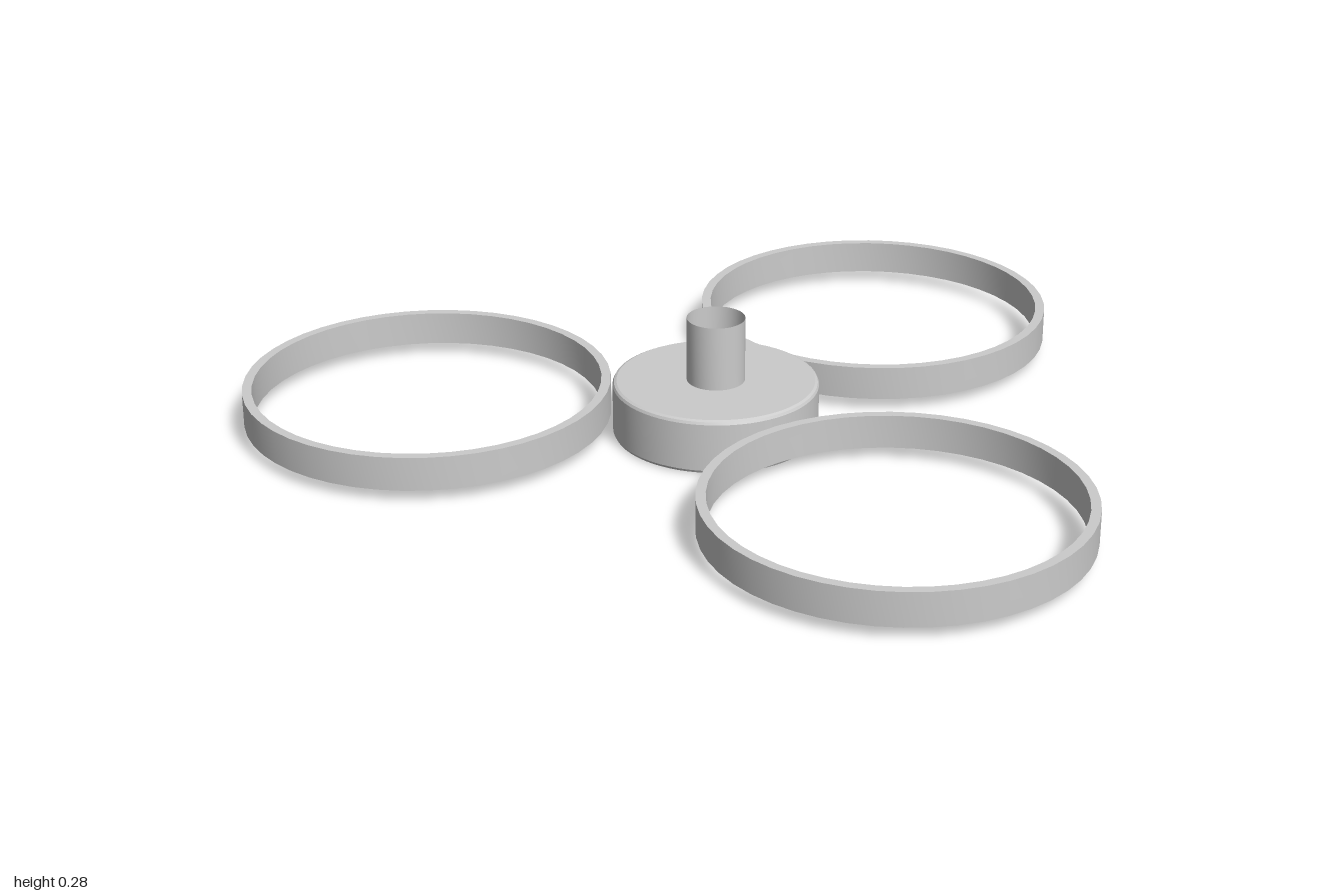
import * as THREE from 'three';
import { toCreasedNormals } from 'three/addons/utils/BufferGeometryUtils.js';

const material = new THREE.MeshStandardMaterial({ color: 0xcccccc });
const openMaterial = new THREE.MeshStandardMaterial({ color: 0xcccccc, side: THREE.DoubleSide });

// Revolve [radius, height] points, keeping the profile's corners sharp
function turned(name, points, segments, mat = material) {
  const profile = points.map(([r, y]) => new THREE.Vector2(r, y));
  const geometry = toCreasedNormals(new THREE.LatheGeometry(profile, segments), 0.4);
  const mesh = new THREE.Mesh(geometry, mat);
  mesh.name = name;
  return mesh;
}

export function createModel() {
  const group = new THREE.Group();
  group.name = 'threeRingHub';

  // Central disc with small bevelled rims, and the open post on top
  const center = new THREE.Group();
  center.name = 'center';
  center.position.set(0.067, 0, -0.093);
  center.add(turned('hub', [
    [0, 0], [0.228, 0], [0.234, 0.003], [0.237, 0.009],
    [0.237, 0.121], [0.234, 0.127], [0.228, 0.13], [0, 0.13],
  ], 64));
  center.add(turned('post', [[0.067, 0.13], [0.067, 0.282]], 32, openMaterial));
  group.add(center);

  // Three flat hoops around the hub: [x, z]
  const hoops = [[-0.573, -0.289], [0.569, -0.535], [0.315, 0.53]];
  const section = [[0.403, 0.027], [0.425, 0.027], [0.425, 0.106], [0.403, 0.106], [0.403, 0.027]];
  hoops.forEach(([x, z], i) => {
    const hoop = turned('hoop' + (i + 1), section, 48);
    hoop.position.set(x, 0, z);
    group.add(hoop);
  });

  return group;
}
